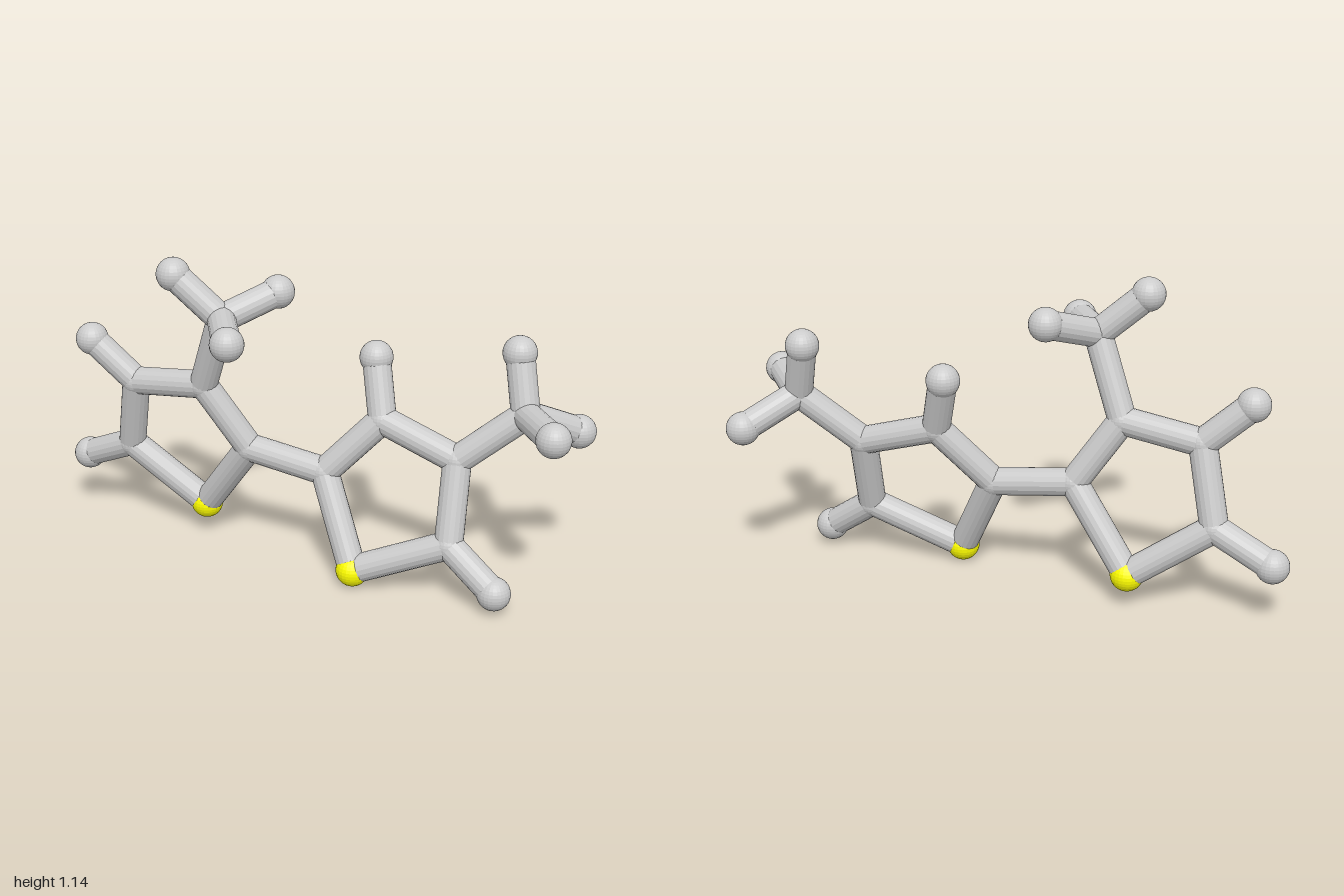
import * as THREE from 'three';

const BOND_R = 0.051, JOINT_R = 0.053, END_R = 0.06;

// Atom centres: c = ring or branch carbon, h = hydrogen, s = sulphur
const ATOMS = {
  // ring on the right side
  s1: [-0.433, 0.12, -0.094],
  c2: [-0.215, 0.415, -0.02],
  c3: [-0.375, 0.65, 0.024],
  c4: [-0.665, 0.61, 0.002],
  c5: [-0.73, 0.325, -0.063],
  h4: [-0.83, 0.757, 0.026],
  h5: [-0.942, 0.227, -0.098],
  // its methyl branch
  c6: [-0.265, 0.937, 0.088],
  h6a: [-0.435, 1.085, 0.115],
  h6b: [-0.125, 1.005, -0.078],
  h6c: [-0.145, 0.928, 0.285],
  // ring on the left side
  s11: [0.238, 0.064, 0.085],
  c12: [0.085, 0.378, -0.016],
  c13: [0.275, 0.585, -0.084],
  c14: [0.565, 0.495, -0.06],
  c15: [0.577, 0.21, 0.034],
  h13: [0.222, 0.79, -0.15],
  h15: [0.76, 0.08, 0.073],
  // its methyl branch
  c16: [0.78, 0.675, -0.128],
  h16a: [0.733, 0.876, -0.18],
  h16b: [0.937, 0.69, 0.073],
  h16c: [0.93, 0.58, -0.283],
};

const BONDS = [
  'c2 c12',
  's1 c2', 'c2 c3', 'c3 c4', 'c4 c5', 'c5 s1',
  'c4 h4', 'c5 h5', 'c3 c6', 'c6 h6a', 'c6 h6b', 'c6 h6c',
  's11 c12', 'c12 c13', 'c13 c14', 'c14 c15', 'c15 s11',
  'c13 h13', 'c15 h15', 'c14 c16', 'c16 h16a', 'c16 h16b', 'c16 h16c',
];

const KINDS = {
  c: { name: 'carbonJoint', radius: JOINT_R },
  h: { name: 'hydrogenBall', radius: END_R },
  s: { name: 'sulphurBall', radius: END_R },
};

export function createModel() {
  const model = new THREE.Group();
  model.name = 'molecule';
  const grey = new THREE.MeshStandardMaterial({ color: 0xcccccc, flatShading: true });
  const yellow = new THREE.MeshStandardMaterial({ color: 0xffff00, flatShading: true });
  const ball = new THREE.SphereGeometry(1, 24, 16);
  const stick = new THREE.CylinderGeometry(BOND_R, BOND_R, 1, 18);
  const up = new THREE.Vector3(0, 1, 0);

  // Balls
  for (const [id, position] of Object.entries(ATOMS)) {
    const kind = KINDS[id[0]];
    const mesh = new THREE.Mesh(ball, id[0] === 's' ? yellow : grey);
    mesh.name = kind.name;
    mesh.position.set(...position);
    mesh.scale.setScalar(kind.radius);
    model.add(mesh);
  }

  // Sticks between bonded balls
  for (const pair of BONDS) {
    const [a, b] = pair.split(' ').map((id) => new THREE.Vector3(...ATOMS[id]));
    const along = b.clone().sub(a);
    const mesh = new THREE.Mesh(stick, grey);
    mesh.name = 'bond';
    mesh.position.copy(a).add(b).multiplyScalar(0.5);
    mesh.scale.y = along.length();
    mesh.quaternion.setFromUnitVectors(up, along.normalize());
    model.add(mesh);
  }
  return model;
}
